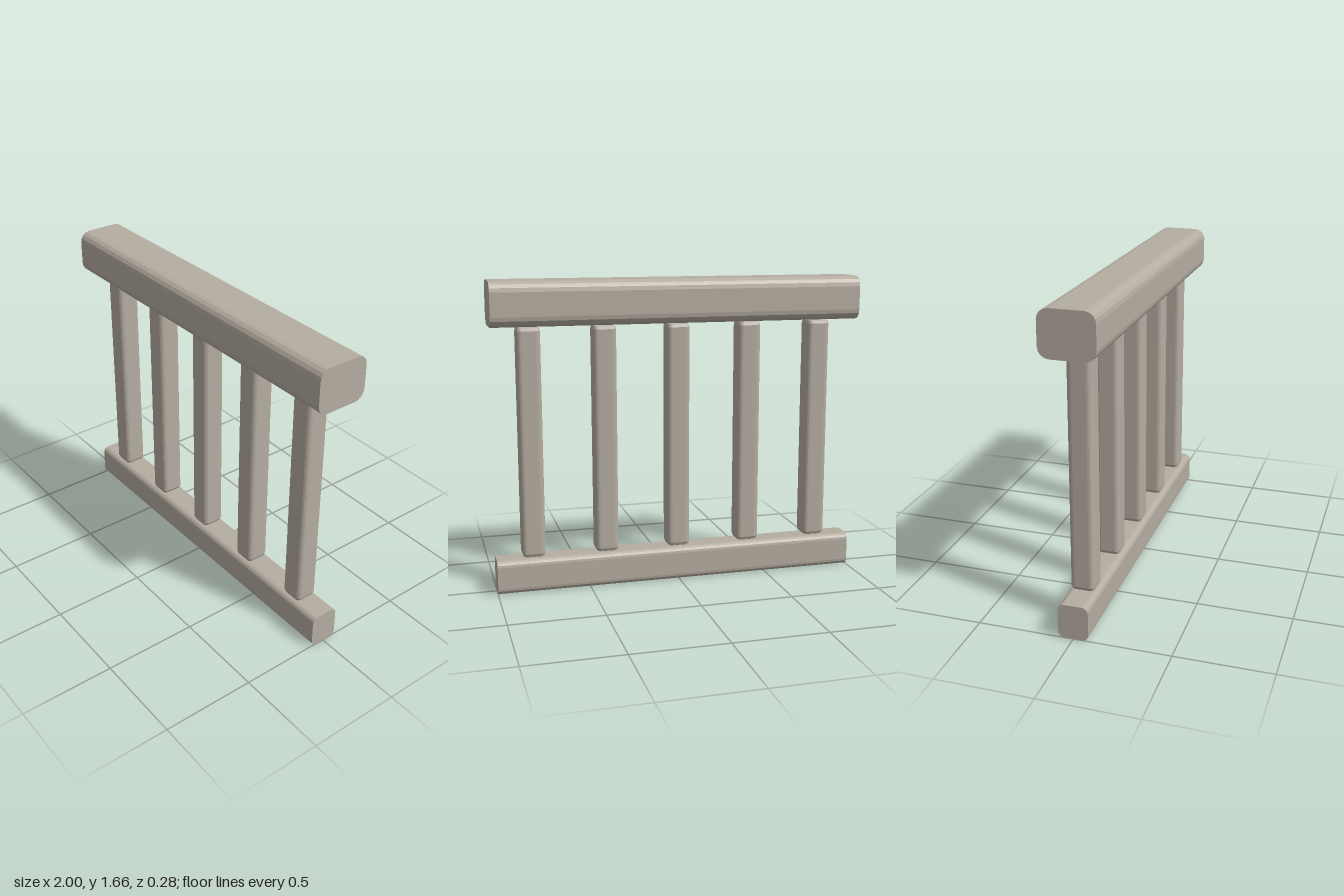
import * as THREE from 'three';

// Rectangle with two-step rounded corners, centred on the origin
function roundedRect(w, h, r) {
  const x = w / 2 - r, y = h / 2 - r, q = Math.PI / 2;
  const s = new THREE.Shape();
  s.absarc(x, y, r, 0, q);
  s.absarc(-x, y, r, q, 2 * q);
  s.absarc(-x, -y, r, 2 * q, 3 * q);
  s.absarc(x, -y, r, 3 * q, 4 * q);
  s.closePath();
  return s;
}

export function createModel() {
  const group = new THREE.Group();
  const stone = new THREE.MeshStandardMaterial({ color: 0xb5ada1 });
  stone.name = 'warm grey stone';

  // Horizontal rail running along x, with flat ends
  function addRail(name, bottom, top, depth, r) {
    const geo = new THREE.ExtrudeGeometry(roundedRect(depth, top - bottom, r),
      { depth: 2, bevelEnabled: false, curveSegments: 2 });
    geo.translate(0, 0, -1);
    geo.rotateY(Math.PI / 2);
    const rail = new THREE.Mesh(geo, stone);
    rail.name = name;
    rail.position.y = (bottom + top) / 2;
    group.add(rail);
  }
  addRail('topRail', 1.425, 1.66, 0.28, 0.055);
  addRail('bottomRail', 0, 0.183, 0.156, 0.032);

  // Upright balusters, rounded on every edge
  const bottom = 0.187, top = 1.422, bevel = 0.022;
  const balusterGeo = new THREE.ExtrudeGeometry(roundedRect(0.124, 0.124, 0.025), {
    depth: top - bottom - 2 * bevel, curveSegments: 2,
    bevelThickness: bevel, bevelSize: bevel, bevelOffset: -bevel, bevelSegments: 2,
  });
  balusterGeo.rotateX(-Math.PI / 2);
  balusterGeo.translate(0, bottom + bevel, 0);
  for (let i = 0; i < 5; i++) {
    const baluster = new THREE.Mesh(balusterGeo, stone);
    baluster.name = 'baluster' + (i + 1);
    baluster.position.x = (i - 2) * 0.4;
    group.add(baluster);
  }
  return group;
}
